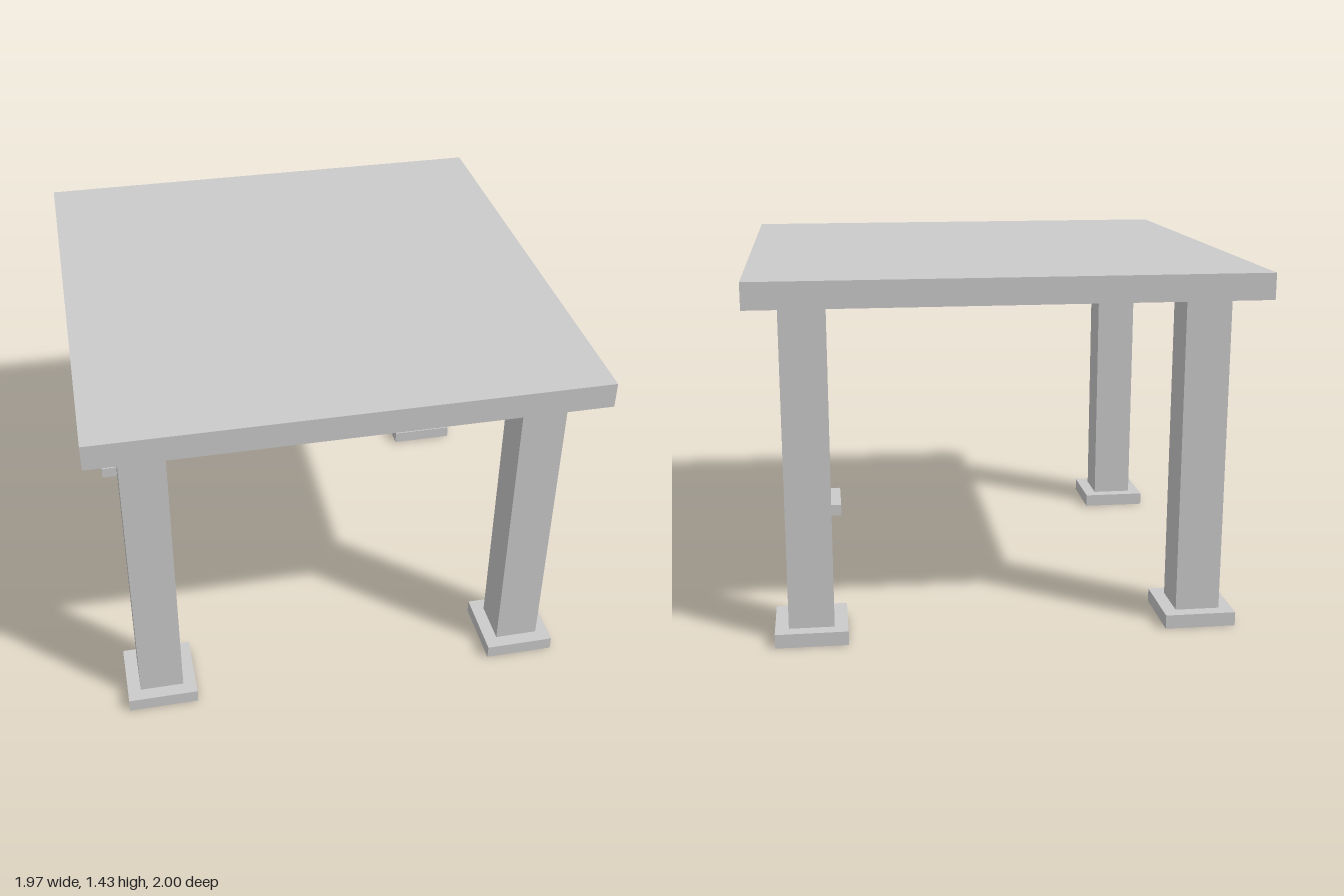
import * as THREE from 'three';

const material = new THREE.MeshStandardMaterial({ color: 0xcccccc, flatShading: true });

// Box resting on height y0 and reaching y1
function slab(name, width, depth, y0, y1, x = 0, z = 0) {
  const mesh = new THREE.Mesh(new THREE.BoxGeometry(width, y1 - y0, depth), material);
  mesh.name = name;
  mesh.position.set(x, (y0 + y1) / 2, z);
  return mesh;
}

export function createModel() {
  const table = new THREE.Group();
  table.name = 'table';

  // Table top
  table.add(slab('tableTop', 1.965, 2, 1.328, 1.43));

  // Four square legs, each on a wider foot plate
  for (const [end, sz] of [['front', 1], ['back', -1]]) {
    for (const [side, sx] of [['Left', 1], ['Right', -1]]) {
      const leg = new THREE.Group();
      leg.name = `${end}${side}Leg`;
      leg.position.set(sx * 0.77, 0, sz * 0.785);
      leg.add(slab('post', 0.177, 0.18, 0.056, 1.328));
      leg.add(slab('foot', 0.283, 0.288, 0, 0.056));
      table.add(leg);
    }
  }
  return table;
}
